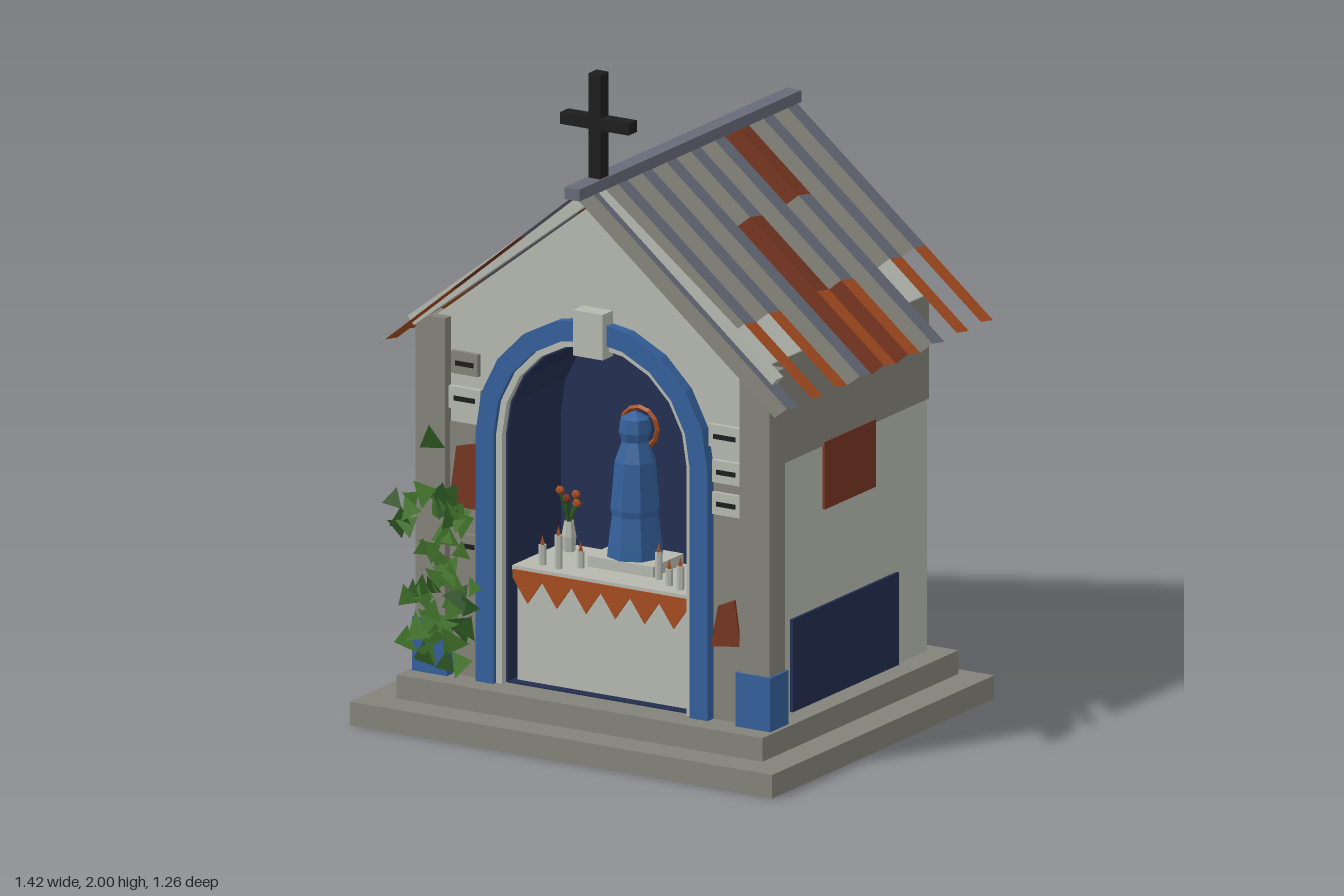
import * as THREE from 'three';

const mat = (name, color) => new THREE.MeshStandardMaterial({ name, color, flatShading: true, side: THREE.DoubleSide });

export function createModel() {
  const M = {
    plaster: mat('pale plaster', 0xb6b9b0),
    stone: mat('grey stone', 0x83827a),
    blue: mat('blue paint', 0x34609a),
    navy: mat('navy paint', 0x232e50),
    rust: mat('dark rust', 0x763521),
    orange: mat('orange rust', 0xa54c20),
    iron: mat('black iron', 0x1d1d1d),
    metal: mat('blue grey metal', 0x666b78),
    leaf: mat('leaf green', 0x44752c),
    leafDark: mat('dark leaf green', 0x2c5520),
  };
  const model = new THREE.Group();
  model.name = 'shrine';

  const add = (name, geo, m, x = 0, y = 0, z = 0, parent = model) => {
    const mesh = new THREE.Mesh(geo, m);
    mesh.name = name;
    mesh.position.set(x, y, z);
    parent.add(mesh);
    return mesh;
  };
  // box given by its limits
  const box = (name, m, x0, x1, y0, y1, z0, z1, parent) =>
    add(name, new THREE.BoxGeometry(x1 - x0, y1 - y0, z1 - z0), m,
      (x0 + x1) / 2, (y0 + y1) / 2, (z0 + z1) / 2, parent);
  // flat outline pushed from z0 to z1
  const slab = (name, m, pts, z0, z1) => {
    const shape = new THREE.Shape(pts.map(([x, y]) => new THREE.Vector2(x, y)));
    return add(name, new THREE.ExtrudeGeometry(shape, { depth: z1 - z0, bevelEnabled: false }), m, 0, 0, z0);
  };
  // round-headed arch outline, from the right foot to the left foot
  const arch = (r) => {
    const pts = [[r, 0.14]];
    for (let i = 0; i <= 10; i++) {
      const a = (i / 10) * Math.PI;
      pts.push([r * Math.cos(a), 0.88 + r * Math.sin(a)]);
    }
    return [...pts, [-r, 0.14]];
  };
  const archBand = (outer, inner) => [...arch(outer), ...arch(inner).reverse()];

  // stepped base
  box('lowerStep', M.stone, -0.71, 0.71, 0, 0.07, -0.57, 0.63);
  box('upperStep', M.stone, -0.615, 0.615, 0.07, 0.14, -0.53, 0.53);

  // walls: solid rear, arched opening in front
  const gable = [[-0.54, 0.14], [-0.54, 1.2], [0, 1.62], [0.54, 1.2], [0.54, 0.14]];
  slab('rearWalls', M.plaster, gable, -0.48, 0.135);
  slab('frontWalls', M.plaster, [...gable, ...arch(0.31)], 0.135, 0.43);
  slab('nicheBack', M.navy, arch(0.31), 0.135, 0.14);
  slab('nicheLining', M.navy, archBand(0.311, 0.304), 0.135, 0.428);
  box('nicheFloor', M.navy, -0.304, 0.304, 0.14, 0.144, 0.14, 0.43);
  slab('archFrame', M.blue, archBand(0.39, 0.33), 0.42, 0.465);
  slab('archRim', M.plaster, archBand(0.33, 0.31), 0.42, 0.45);
  box('keystone', M.plaster, -0.05, 0.05, 1.165, 1.3, 0.43, 0.485);

  // pilasters and wall bands on both sides
  for (const s of [-1, 1]) {
    const side = (name, m, x0, x1, ...r) => box(name, m, Math.min(s * x0, s * x1), Math.max(s * x0, s * x1), ...r);
    side('pilaster', M.stone, 0.495, 0.595, 0.14, 1.2, 0.375, 0.46);
    side('pilasterFoot', M.blue, 0.485, 0.602, 0.14, 0.3, 0.367, 0.467);
    side('upperWallBand', M.stone, 0.54, 0.546, 0.89, 1.2, -0.48, 0.43);
    side('sidePanel', s > 0 ? M.navy : M.blue, 0.54, 0.549, 0.14, 0.415, -0.315, 0.26);
    side('bareFrontWall', M.stone, 0.385, 0.5, 0.14, 0.89, 0.428, 0.434);
  }
  box('sideRustPatch', M.rust, 0.54, 0.549, 0.7, 0.9, -0.19, 0.085);
  slab('leftRustPatch', M.rust, [[0.385, 0.355], [0.485, 0.37], [0.465, 0.505], [0.41, 0.48]], 0.434, 0.441);
  slab('rightRustPatch', M.rust, [[-0.495, 0.64], [-0.39, 0.64], [-0.39, 0.84], [-0.47, 0.82]], 0.434, 0.441);

  // small wall plaques with a dark line
  for (const [x, y, w, m] of [[-0.44, 1.07, 0.09, M.stone], [-0.44, 0.965, 0.105, M.plaster], [-0.43, 0.53, 0.07, M.stone],
    [0.435, 0.985, 0.11, M.plaster], [0.44, 0.88, 0.095, M.plaster], [0.44, 0.785, 0.095, M.plaster]]) {
    box('plaque', m, x - w / 2, x + w / 2, y - 0.033, y + 0.033, 0.43, 0.445);
    box('plaqueLine', M.iron, x - w / 3, x + w / 3, y - 0.008, y + 0.006, 0.445, 0.448);
  }

  // front gable coping, ridge and cross
  slab('gableCoping', M.plaster, [[-0.62, 1.19], [0, 1.672], [0.62, 1.19], [0.6, 1.165], [0, 1.625], [-0.6, 1.165]], 0.425, 0.462);
  box('ridgeCap', M.metal, -0.025, 0.025, 1.655, 1.69, -0.63, 0.57);
  box('crossPost', M.iron, -0.02, 0.02, 1.68, 2, 0.405, 0.45);
  box('crossArm', M.iron, -0.115, 0.115, 1.835, 1.87, 0.405, 0.45);

  // corrugated roof: rows from eave to ridge, one letter per strip from back to front
  // m sheet metal, r dark rust, o orange rust, . missing
  const roof = {
    '-1': ['mmororrro.o.mmoror', 'mmrrmmmmmmmmmmmmrr', 'mmmmmmmmmmmmrrmmmm'],
    '1': ['o.o.mmorormmo.o.mm', 'mmmmmmmmrrmmmmmmmm', 'mmmmrrmmmmmmmmmmmm'],
  };
  const step = 1.18 / 18;
  for (const s of [-1, 1]) {
    const sheets = new THREE.Group();
    sheets.name = s > 0 ? 'leftRoof' : 'rightRoof';
    model.add(sheets);
    const point = (x, i) => [s * x, 1.67 - 0.826 * x + (i % 2 ? 0.007 : -0.004), -0.62 + i * step];
    roof[s].forEach((row, k) => [...row].forEach((c, i) => {
      if (c === '.') return;
      const x0 = (2 - k) * 0.225, x1 = x0 + 0.225;
      const p = [point(x0, i), point(x0, i + 1), point(x1, i + 1), point(x1, i)];
      const g = new THREE.BufferGeometry();
      g.setAttribute('position', new THREE.Float32BufferAttribute(p.flat(), 3));
      g.setIndex(s > 0 ? [0, 1, 2, 0, 2, 3] : [0, 2, 1, 0, 3, 2]);
      g.computeVertexNormals();
      const m = c === 'r' ? M.rust : c === 'o' ? M.orange : i % 2 ? M.stone : M.metal;
      add('roofSheet', g, m, 0, 0, 0, sheets);
    }));
  }

  // altar with bunting
  box('altar', M.plaster, -0.29, 0.29, 0.14, 0.47, 0.14, 0.4);
  box('altarTop', M.plaster, -0.3, 0.3, 0.47, 0.485, 0.14, 0.412);
  const bunting = [[-0.295, 0.475]];
  for (let i = 0; i < 6; i++) {
    const x = -0.295 + i * 0.0983;
    bunting.push([x, 0.45], [x + 0.049, 0.38]);
  }
  slab('bunting', M.orange, [...bunting, [0.295, 0.45], [0.295, 0.475]], 0.412, 0.417);

  // robed statue with halo
  const lathe = (pts, n) => new THREE.LatheGeometry(pts.map(([r, y]) => new THREE.Vector2(r, y)), n);
  box('statuePlinth', M.plaster, -0.11, 0.11, 0.485, 0.517, 0.145, 0.31);
  add('robe', lathe([[0, 0.517], [0.082, 0.517], [0.078, 0.56], [0.06, 0.7], [0.052, 0.8], [0.036, 0.85], [0.048, 0.885],
    [0.042, 0.925], [0, 0.947]], 8), M.blue, 0, 0, 0.23);
  add('mantle', lathe([[0.068, 0.64], [0.072, 0.66], [0.06, 0.8], [0.038, 0.86]], 8), M.blue, 0, 0, 0.23);
  add('halo', new THREE.TorusGeometry(0.06, 0.008, 4, 12), M.orange, 0, 0.89, 0.205);

  // candles
  const rod = (name, m, r, h, x, y, z) => add(name, new THREE.CylinderGeometry(r, r, h, 6), m, x, y + h / 2, z);
  for (const [x, z, h] of [[-0.17, 0.37, 0.1], [-0.12, 0.33, 0.05], [-0.23, 0.36, 0.06], [0.13, 0.31, 0.08],
    [0.19, 0.35, 0.05], [0.24, 0.37, 0.07]]) {
    rod('candle', M.plaster, 0.011, h, x, 0.485, z);
    add('flame', new THREE.ConeGeometry(0.008, 0.028, 4), M.orange, x, 0.499 + h, z);
  }

  // flower vases
  for (const x of [-0.24, 0.25]) {
    add('vase', lathe([[0, 0.485], [0.018, 0.485], [0.022, 0.53], [0.014, 0.575]], 7), M.plaster, x, 0, 0.2);
    for (let i = 0; i < 5; i++) {
      const a = i * 1.257, dx = 0.026 * Math.cos(a), dz = 0.026 * Math.sin(a), h = 0.06 + 0.018 * (i % 3);
      const stem = rod('stem', M.leafDark, 0.004, h, x + dx / 2, 0.565, 0.2 + dz / 2);
      stem.rotation.set(dz / h, 0, -dx / h);
      add('flower', new THREE.IcosahedronGeometry(0.014, 0), i % 2 ? M.rust : M.orange, x + dx, 0.57 + h, 0.2 + dz);
    }
  }

  // ivy on the front corner
  let seed = 7;
  const rnd = () => (seed = (seed * 16807) % 2147483647) / 2147483647;
  const ivy = new THREE.Group();
  ivy.name = 'ivy';
  model.add(ivy);
  for (let i = 0; i < 52; i++) {
    const y = 0.18 + 0.5 * rnd() + (i % 6 === 0 ? 0.18 : 0);
    const x = -0.51 + (rnd() - 0.5) * (y > 0.65 ? 0.19 : 0.24) - (y > 0.45 ? 0.03 : 0);
    const leaf = add('ivyLeaf', new THREE.CircleGeometry(0.034 + 0.022 * rnd(), 3), i % 3 ? M.leaf : M.leafDark,
      x, y, 0.472 + 0.008 * rnd(), ivy);
    leaf.rotation.set((rnd() - 0.5) * 0.6, (rnd() - 0.5) * 0.6, rnd() * 6.28);
  }
  return model;
}
